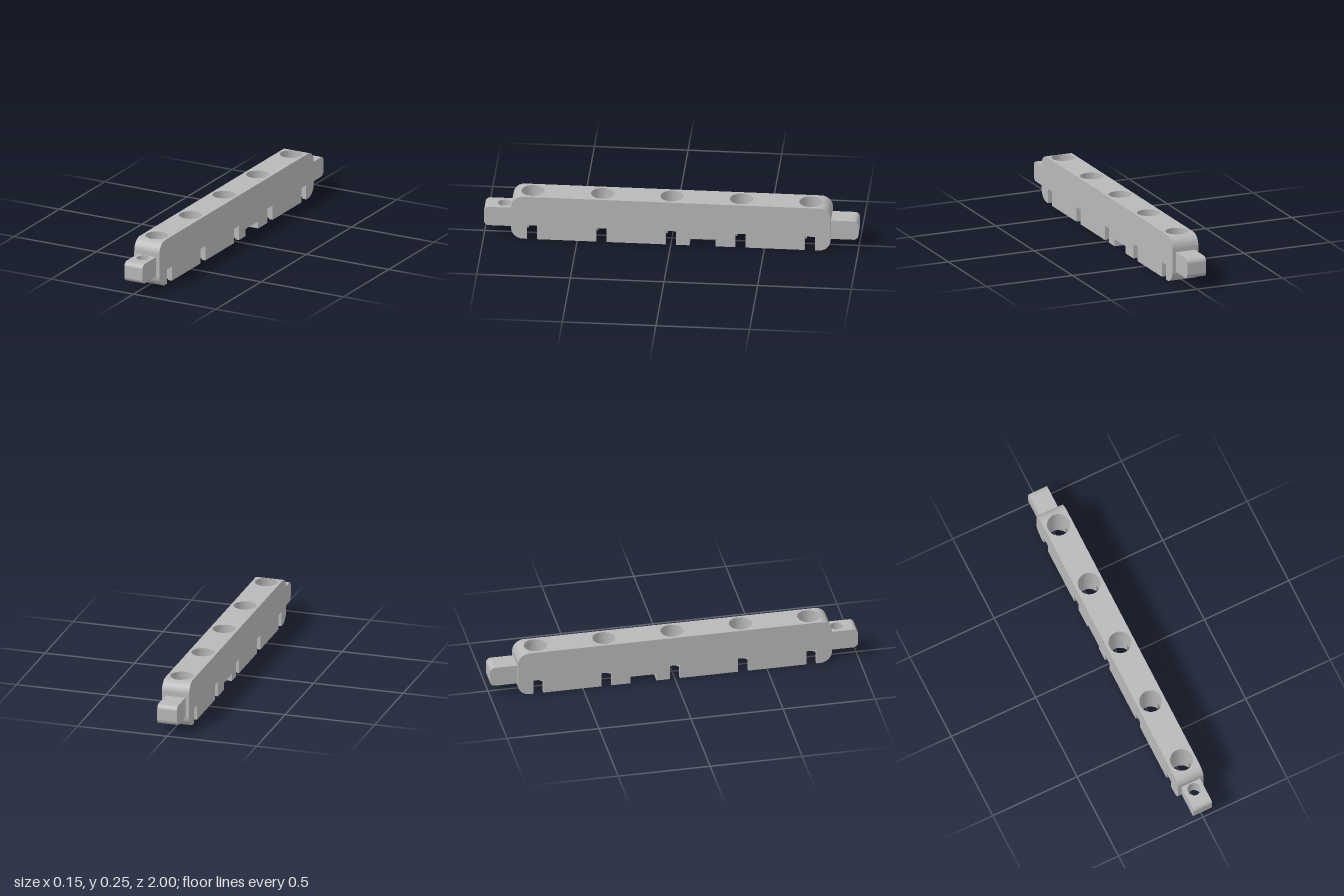
import * as THREE from 'three';

// Bar along z made of cross-sections: rounded ends, vertical round holes and
// notches cut across the underside.
function barGeometry({ w, z0, z1, y0, y1, r0 = 0, r1 = 0, holes = [], notches = [] }) {
  const pos = [], nor = [], index = [];
  const round = (z) => Math.round(z * 1e6) / 1e6;

  // z stations: ends, rounded corners, hole arcs, notch edges
  const stations = [z0, z1];
  for (let i = 0; i <= 10; i++) {
    const s = Math.sin((i / 10) * Math.PI / 2);
    if (r0) stations.push(z0 + r0 - r0 * s);
    if (r1) stations.push(z1 - r1 + r1 * s);
  }
  for (const h of holes)
    for (let i = 0; i <= 24; i++) stations.push(h.z - h.r * Math.cos((i / 24) * Math.PI));
  for (const n of notches) stations.push(n.a, n.b);
  const zs = [...new Set(stations.map(round))].sort((a, b) => a - b);

  // quad with one normal per corner, turned to face along its normals
  function quad(points, normals) {
    const [a, b, c, d] = points.map((p) => new THREE.Vector3(...p));
    const face = c.clone().sub(a).cross(d.clone().sub(b));
    const sum = new THREE.Vector3();
    normals.forEach((n) => sum.add(new THREE.Vector3(...n)));
    const k = pos.length / 3;
    points.forEach((p) => pos.push(...p));
    normals.forEach((n) => nor.push(...n));
    if (face.dot(sum) > 0) index.push(k, k + 1, k + 2, k, k + 2, k + 3);
    else index.push(k, k + 2, k + 1, k, k + 3, k + 2);
  }

  // corner rounding at z: height lost and the outward normal of the top
  function corner(z) {
    let r = 0, d = 0;
    if (r1 && z > z1 - r1) { r = r1; d = z - (z1 - r1); }
    else if (r0 && z < z0 + r0) { r = r0; d = z - (z0 + r0); }
    if (!r) return { drop: 0, n: [0, 1, 0] };
    const c = Math.sqrt(Math.max(0, r * r - d * d));
    return { drop: r - c, n: [0, c / r, d / r] };
  }
  const halfWidth = (h, z) => (h ? Math.sqrt(Math.max(0, h.r ** 2 - (z - h.z) ** 2)) : 0);
  const top = (z) => y1 - corner(z).drop;
  const cells = zs.slice(0, -1).map((za, i) => {
    const zb = zs[i + 1], mid = (za + zb) / 2;
    const notch = notches.find((n) => mid > n.a && mid < n.b);
    return {
      za, zb, notch,
      hole: holes.find((h) => Math.abs(mid - h.z) < h.r),
      bottom: (z) => (notch ? notch.y : y0 + corner(z).drop),
    };
  });

  for (const s of [-1, 1]) {
    cells.forEach(({ za, zb, notch, hole, bottom }, i) => {
      const ha = s * halfWidth(hole, za), hb = s * halfWidth(hole, zb), x = s * w;
      const ta = top(za), tb = top(zb), ba = bottom(za), bb = bottom(zb);
      const na = corner(za).n, nb = corner(zb).n;
      const under = (n) => (notch ? [0, -1, 0] : [0, -n[1], n[2]]);
      const side = [s, 0, 0];
      quad([[ha, ta, za], [x, ta, za], [x, tb, zb], [hb, tb, zb]], [na, na, nb, nb]);
      quad([[ha, ba, za], [x, ba, za], [x, bb, zb], [hb, bb, zb]],
        [under(na), under(na), under(nb), under(nb)]);
      quad([[x, ba, za], [x, ta, za], [x, tb, zb], [x, bb, zb]], [side, side, side, side]);
      if (hole) {
        const ia = [-ha / hole.r, 0, (hole.z - za) / hole.r];
        const ib = [-hb / hole.r, 0, (hole.z - zb) / hole.r];
        quad([[ha, ba, za], [ha, ta, za], [hb, tb, zb], [hb, bb, zb]], [ia, ia, ib, ib]);
      }
      // notch side walls
      const next = cells[i + 1];
      if (next && next.notch !== notch) {
        const low = bb, high = next.bottom(zb);
        const n = [0, 0, high > low ? 1 : -1];
        quad([[hb, low, zb], [x, low, zb], [x, high, zb], [hb, high, zb]], [n, n, n, n]);
      }
    });
  }
  // end faces
  for (const [z, d] of [[z0, -1], [z1, 1]]) {
    const n = [0, 0, d], t = top(z), b = y0 + corner(z).drop;
    quad([[-w, b, z], [w, b, z], [w, t, z], [-w, t, z]], [n, n, n, n]);
  }

  const g = new THREE.BufferGeometry();
  g.setAttribute('position', new THREE.Float32BufferAttribute(pos, 3));
  g.setAttribute('normal', new THREE.Float32BufferAttribute(nor, 3));
  g.setIndex(index);
  return g;
}

export function createModel() {
  const model = new THREE.Group();
  const grey = new THREE.MeshStandardMaterial({ color: 0xb8b8b8 });
  grey.name = 'grey';
  const add = (name, options) => {
    const mesh = new THREE.Mesh(barGeometry(options), grey);
    mesh.name = name;
    model.add(mesh);
  };

  // main bar: five holes, a cross slot under each, one wide shallow recess
  const centres = [-0.742, -0.371, 0, 0.371, 0.742];
  add('bar', {
    w: 0.076, z0: -0.853, z1: 0.853, y0: 0, y1: 0.252, r0: 0.063, r1: 0.063,
    holes: centres.map((z) => ({ z, r: 0.061 })),
    notches: [
      ...centres.map((z) => ({ a: z - 0.027, b: z + 0.027, y: 0.081 })),
      { a: -0.24, b: -0.1, y: 0.04 },
    ],
  });

  // end tabs, the front one drilled
  const tab = { w: 0.055, y0: 0.062, y1: 0.172 };
  add('frontTab', { ...tab, z0: 0.853, z1: 1, r1: 0.027, holes: [{ z: 0.894, r: 0.035 }] });
  add('backTab', { ...tab, z0: -1, z1: -0.853, r0: 0.027 });
  return model;
}
